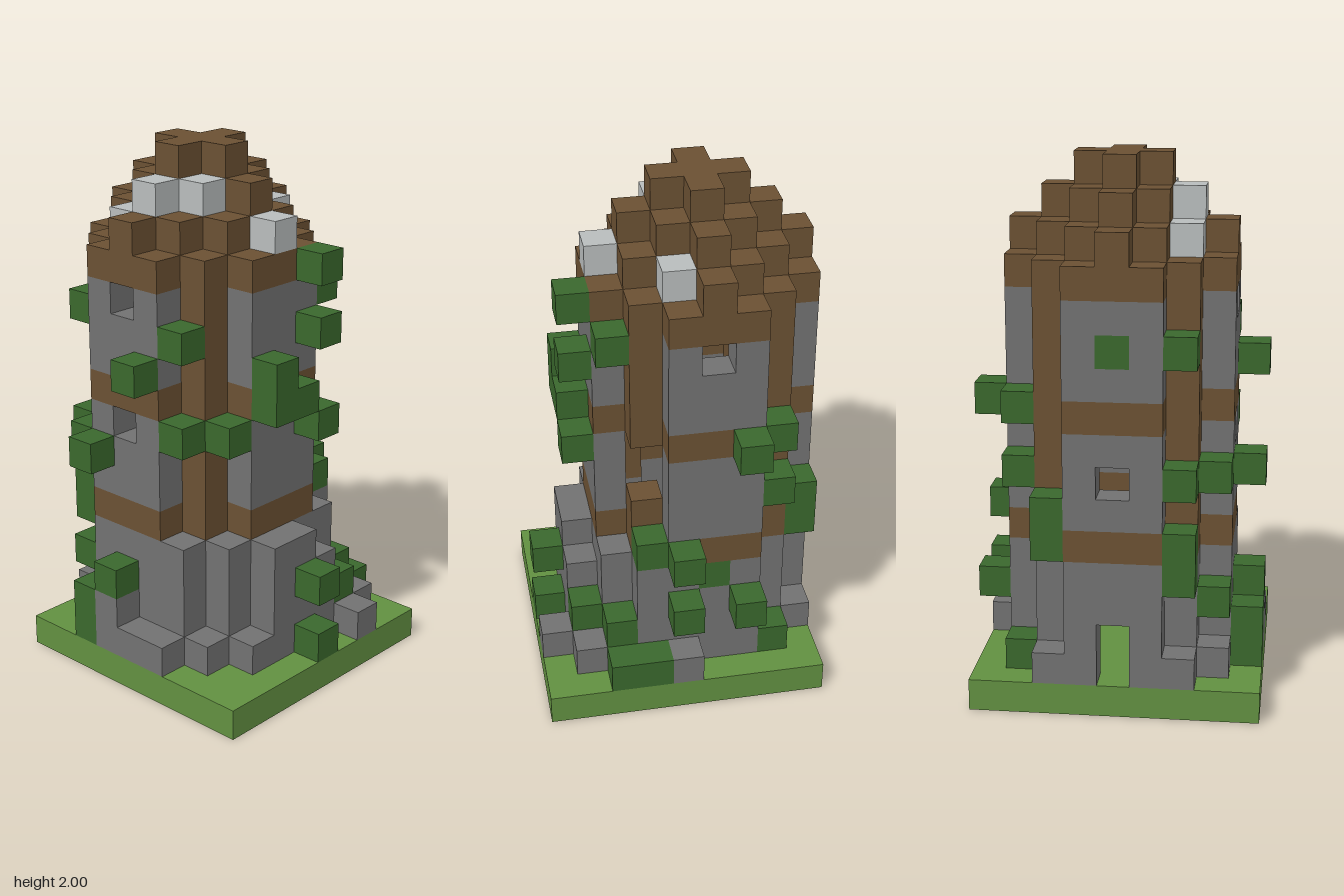
import * as THREE from 'three';

const N = 9, U = 2 / 17, CX = 3, CZ = 4;

const mat = (name, color) => {
  const m = new THREE.MeshStandardMaterial({ color });
  m.name = name;
  return m;
};

// Six cube sides: normal axis n, tangents u and v with u x v = n
const SIDES = [
  [[1, 0, 0], [0, 1, 0], [0, 0, 1]], [[-1, 0, 0], [0, 0, 1], [0, 1, 0]],
  [[0, 1, 0], [0, 0, 1], [1, 0, 0]], [[0, -1, 0], [1, 0, 0], [0, 0, 1]],
  [[0, 0, 1], [1, 0, 0], [0, 1, 0]], [[0, 0, -1], [0, 1, 0], [1, 0, 0]],
];

export function createModel() {
  const materials = {
    lawn: mat('grass green', 0x629041),
    stonework: mat('stone grey', 0x727272),
    timberFrame: mat('timber brown', 0x6b5133),
    roof: null,
    paleTiles: mat('pale tile grey', 0xb9bdbd),
    ivy: mat('ivy green', 0x3a682d),
  };
  materials.roof = materials.timberFrame;

  const cells = new Map();
  const key = (i, j, k) => `${i},${j},${k}`;
  const put = (part, i, k, j0, j1 = j0) => {
    for (let j = j0; j <= j1; j++) cells.set(key(i, j, k), part);
  };
  const clear = (i, k, j0, j1 = j0) => {
    for (let j = j0; j <= j1; j++) cells.delete(key(i, j, k));
  };
  const inDisc = (i, k) => {
    const a = Math.abs(i - CX), b = Math.abs(k - CZ);
    return a <= 3 && b <= 3 && a + b <= 4;
  };

  // Square lawn slab with one stone sunk into it
  for (let i = 0; i < N; i++) for (let k = 0; k < N; k++) put('lawn', i, k, 0);
  put('stonework', 7, 1, 0, 1);

  // Hollow round wall with timber bands and diagonal posts; stepped roof above
  for (let i = 0; i < N; i++) for (let k = 0; k < N; k++) {
    if (!inDisc(i, k)) continue;
    const a = Math.abs(i - CX), b = Math.abs(k - CZ);
    const isWall = a === 3 || b === 3 || (a === 2 && b === 2);
    if (isWall) {
      put('stonework', i, k, 1, 12);
      if (a === 2 && b === 2) put('timberFrame', i, k, 5, 12);
      put('timberFrame', i, k, 5);
      put('timberFrame', i, k, 9);
    }
    for (let s = 0; s < 4; s++) if (a + b <= 4 - s) put('roof', i, k, 13 + s);
  }

  // Buttress on the left side of the tower
  [[5, 7, 4], [6, 6, 4], [7, 5, 4], [7, 4, 4], [7, 3, 3], [6, 2, 4], [5, 1, 4]]
    .forEach(([i, k, top]) => put('stonework', i, k, 1, top));

  // Fallen stones around the foot
  [[0, 6], [1, 7], [4, 8], [5, 8], [6, 7], [7, 6], [8, 2], [7, 2], [6, 1], [4, 0], [0, 2]]
    .forEach(([i, k]) => put('stonework', i, k, 1));
  put('stonework', 3, 8, 1, 2);

  // Windows, doorway and the broken corner post
  clear(3, 7, 12);
  clear(3, 1, 12);
  clear(3, 7, 8);
  clear(0, 4, 7);
  clear(0, 4, 1, 2);
  clear(5, 2, 7, 8);
  put('timberFrame', 3, 2, 8);

  // Pale roof tiles
  [[2, 6, 14], [4, 2, 14], [6, 4, 14], [3, 6, 15], [4, 5, 15]]
    .forEach(([i, k, j]) => put('paleTiles', i, k, j));

  // Ivy: column, row, lowest layer, highest layer
  [
    [2, 8, 1, 2], [3, 8, 3], [1, 7, 3], [2, 8, 7], [1, 7, 7], [0, 6, 7],
    [0, 6, 4, 5], [0, 6, 11], [4, 8, 10], [5, 7, 11], [5, 7, 8], [6, 6, 8],
    [7, 5, 9, 10], [7, 4, 9], [7, 3, 8], [7, 3, 11], [7, 3, 13], [6, 2, 12],
    [8, 4, 1], [8, 4, 3], [7, 2, 2], [6, 1, 2], [5, 0, 1], [6, 0, 1],
    [4, 0, 3], [4, 0, 5], [5, 1, 5], [2, 0, 3], [2, 0, 9], [1, 1, 9],
    [1, 1, 7], [1, 1, 1], [0, 2, 5, 6], [0, 4, 11], [3, 1, 4],
  ].forEach(([i, k, j0, j1]) => put('ivy', i, k, j0, j1));

  // One mesh per part, keeping only the exposed cube sides
  const group = new THREE.Group();
  group.name = 'overgrownTower';
  for (const [part, material] of Object.entries(materials)) {
    const pos = [], nor = [], idx = [];
    for (const [id, owner] of cells) {
      if (owner !== part) continue;
      const [i, j, k] = id.split(',').map(Number);
      const c = [i + 0.5, j + 0.5, k + 0.5];
      for (const [n, u, v] of SIDES) {
        if (cells.has(key(i + n[0], j + n[1], k + n[2]))) continue;
        const first = pos.length / 3;
        for (const [s, t] of [[-1, -1], [1, -1], [1, 1], [-1, 1]]) {
          const p = c.map((x, d) => x + (n[d] + s * u[d] + t * v[d]) / 2);
          pos.push((p[0] - N / 2) * U, p[1] * U, (p[2] - N / 2) * U);
          nor.push(...n);
        }
        idx.push(first, first + 1, first + 2, first, first + 2, first + 3);
      }
    }
    const geo = new THREE.BufferGeometry();
    geo.setAttribute('position', new THREE.Float32BufferAttribute(pos, 3));
    geo.setAttribute('normal', new THREE.Float32BufferAttribute(nor, 3));
    geo.setIndex(idx);
    const mesh = new THREE.Mesh(geo, material);
    mesh.name = part;
    group.add(mesh);
  }
  return group;
}
